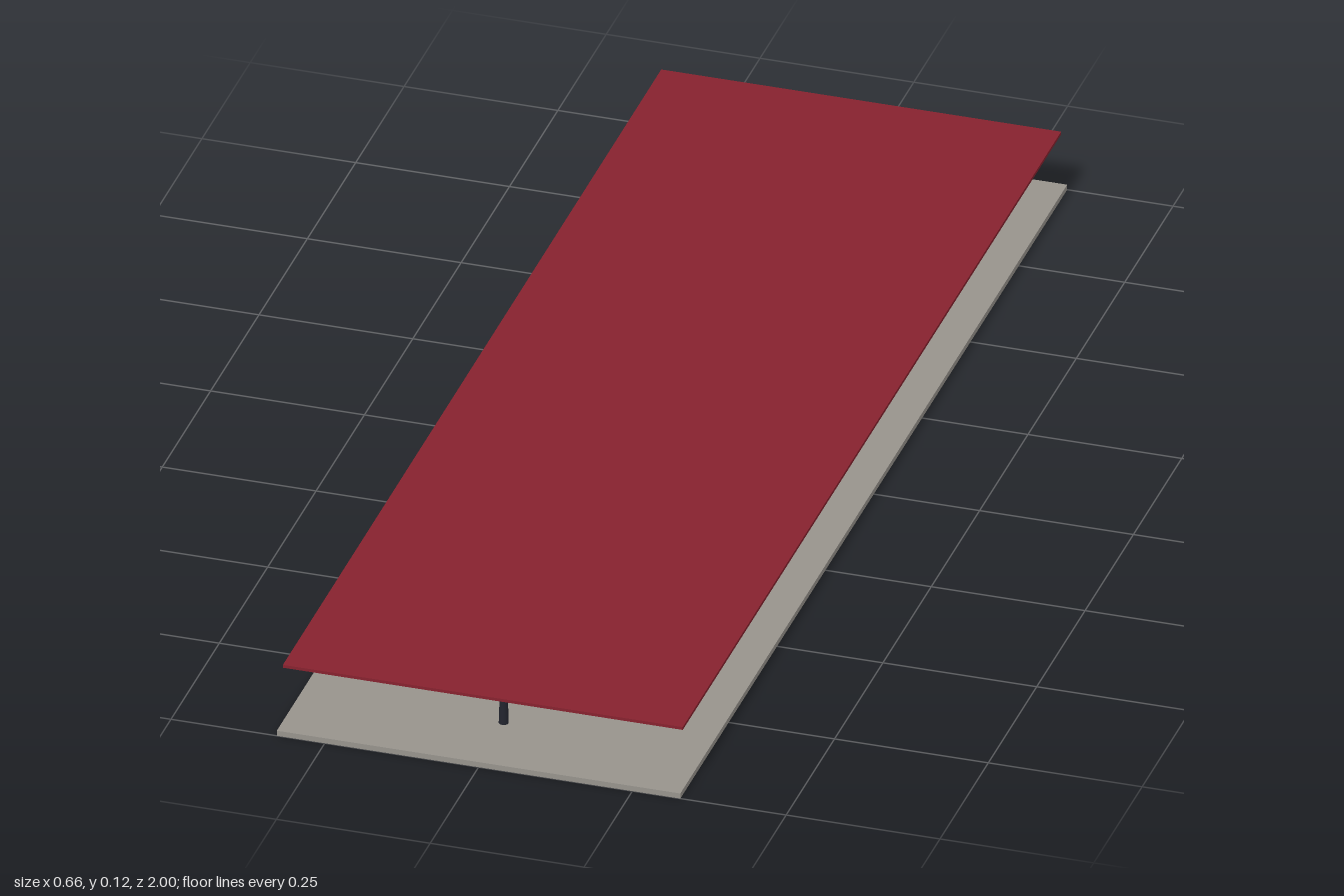
import * as THREE from 'three';

const mat = (name, color) => {
  const m = new THREE.MeshStandardMaterial({ color });
  m.name = name;
  return m;
};

export function createModel() {
  const stone = mat('stone grey', 0x97938c);
  const red = mat('roof red', 0x86222e);
  const pale = mat('pale fascia', 0xdccdc9);
  const iron = mat('dark iron', 0x22242e);

  const model = new THREE.Group();
  model.name = 'platformShelter';

  // Box standing on a given height
  const slab = (name, w, h, d, y, material) => {
    const mesh = new THREE.Mesh(new THREE.BoxGeometry(w, h, d), material);
    mesh.name = name;
    mesh.position.y = y + h / 2;
    model.add(mesh);
  };

  // Platform deck, then the canopy from its underside up
  slab('platform', 0.656, 0.009, 2, 0, stone);
  slab('soffit', 0.628, 0.001, 1.914, 0.101, stone);
  slab('fascia', 0.628, 0.008, 1.914, 0.102, pale);
  slab('roof', 0.65, 0.005, 1.956, 0.11, red);

  // Central row of columns, each with a slightly wider foot
  const shaftGeo = new THREE.CylinderGeometry(0.007, 0.007, 0.093, 12);
  const footGeo = new THREE.CylinderGeometry(0.007, 0.008, 0.031, 12);
  for (let i = -3; i <= 3; i++) {
    const column = new THREE.Group();
    column.name = 'column';
    const shaft = new THREE.Mesh(shaftGeo, iron);
    shaft.name = 'columnShaft';
    shaft.position.y = 0.0555;
    const foot = new THREE.Mesh(footGeo, iron);
    foot.name = 'columnFoot';
    foot.position.y = 0.0245;
    column.add(shaft, foot);
    column.position.z = i * 0.29;
    model.add(column);
  }
  return model;
}
